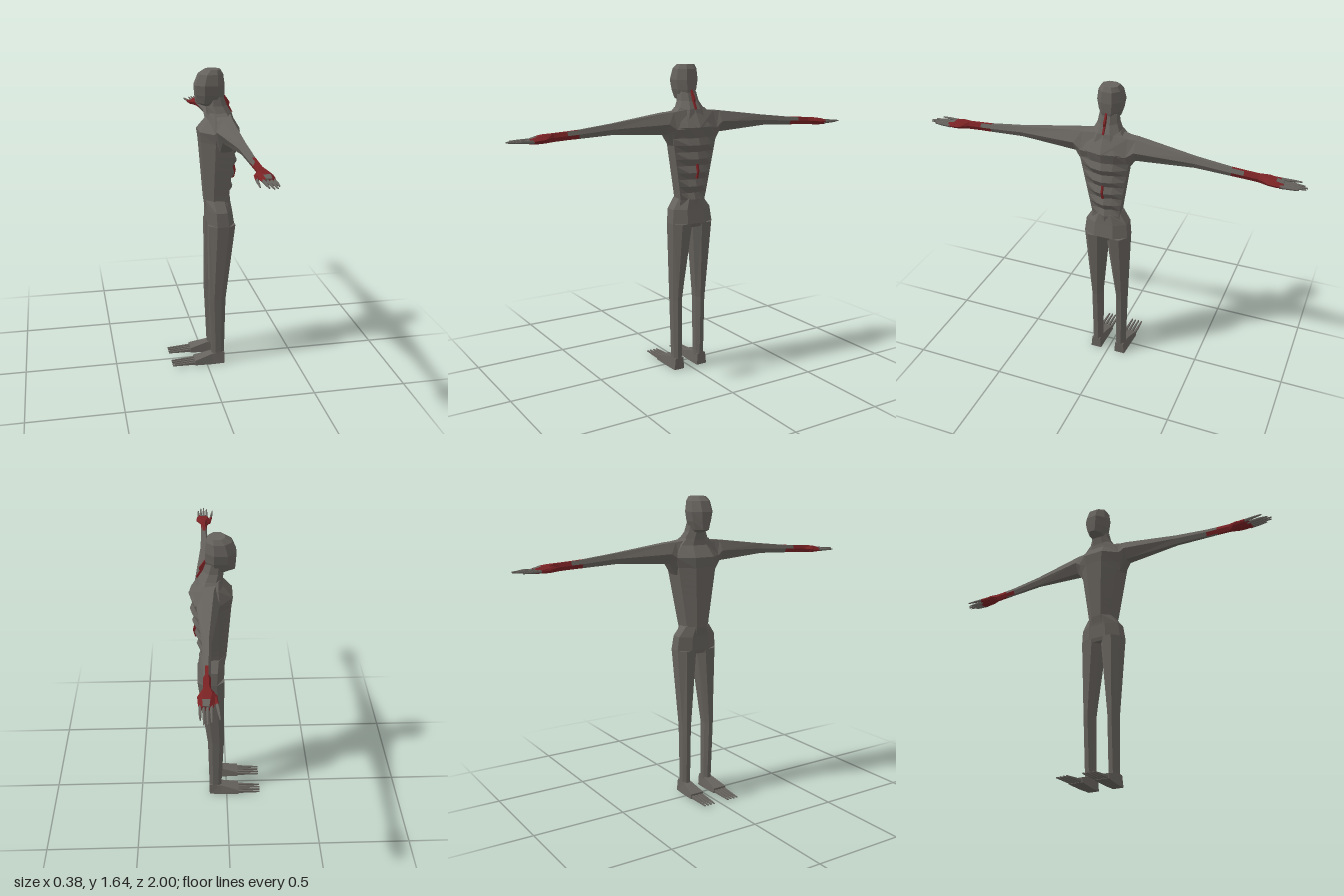
import * as THREE from 'three';

const skin = new THREE.MeshStandardMaterial({ name: 'ashenSkin', color: 0x66625d, flatShading: true });
const blood = new THREE.MeshStandardMaterial({ name: 'driedRed', color: 0x7a2224, flatShading: true });

// Skin a closed solid over rings of [x,y,z]; isRed(ring, side) picks the second material
function loft(name, rings, isRed) {
  const n = rings[0].length, groups = [[], []];
  const tri = (m, a, b, c) => groups[m].push([a, b, c]);
  for (let i = 0; i < rings.length - 1; i++) {
    for (let k = 0; k < n; k++) {
      const a = rings[i][k], b = rings[i][(k + 1) % n], c = rings[i + 1][(k + 1) % n], d = rings[i + 1][k];
      const m = isRed && isRed(i, k) ? 1 : 0;
      tri(m, a, b, c);
      tri(m, a, c, d);
    }
  }
  const last = rings[rings.length - 1];
  for (let k = 1; k < n - 1; k++) {
    tri(isRed && isRed(0, k) ? 1 : 0, rings[0][0], rings[0][k + 1], rings[0][k]);
    tri(isRed && isRed(rings.length - 2, k) ? 1 : 0, last[0], last[k], last[k + 1]);
  }
  // Turn the faces outward using the signed volume
  let volume = 0;
  for (const [a, b, c] of groups.flat()) {
    volume += a[0] * (b[1] * c[2] - b[2] * c[1]) + a[1] * (b[2] * c[0] - b[0] * c[2]) + a[2] * (b[0] * c[1] - b[1] * c[0]);
  }
  const geo = new THREE.BufferGeometry(), pos = [];
  groups.forEach((tris, m) => {
    geo.addGroup(pos.length / 3, tris.length * 3, m);
    for (const [a, b, c] of tris) pos.push(...a, ...(volume > 0 ? b : c), ...(volume > 0 ? c : b));
  });
  geo.setAttribute('position', new THREE.Float32BufferAttribute(pos, 3));
  geo.computeVertexNormals();
  const mesh = new THREE.Mesh(geo, [skin, blood]);
  mesh.name = name;
  return mesh;
}

// Eight-sided horizontal ring with cut corners
function octY(y, x0, x1, z0, z1, c = 0.28) {
  const dx = (x1 - x0) * c, dz = (z1 - z0) * c;
  return [[x0, y, z0 + dz], [x0 + dx, y, z0], [x1 - dx, y, z0], [x1, y, z0 + dz],
    [x1, y, z1 - dz], [x1 - dx, y, z1], [x0 + dx, y, z1], [x0, y, z1 - dz]];
}

// Hexagonal ring across the arm, pointed at front and back
function hexZ(z, x0, x1, y0, y1, mid = (y0 + y1) / 2) {
  const d = (x1 - x0) * 0.27;
  return [[x0, mid, z], [x0 + d, y1, z], [x1 - d, y1, z], [x1, mid, z], [x1 - d, y0, z], [x0 + d, y0, z]];
}

// Thin upright wound plate on the centre line
function fin(name, pts) {
  const shape = new THREE.Shape(pts.map(p => new THREE.Vector2(...p)));
  const geo = new THREE.ExtrudeGeometry(shape, { depth: 0.009, bevelEnabled: false });
  geo.translate(0, 0, -0.0045);
  const mesh = new THREE.Mesh(geo, blood);
  mesh.name = name;
  return mesh;
}

function torso() {
  // Ring with a narrow chest front, flat sides and a ridged back
  const ring = (y, xf, xs, xe, xb, w) => [
    [xf, y, -w * 0.38], [xs, y, -w * 0.9], [xe, y, -w], [xb - 0.012, y, -w * 0.45], [xb, y, 0],
    [xb - 0.012, y, w * 0.45], [xe, y, w], [xs, y, w * 0.9], [xf, y, w * 0.38]];
  const rings = [ring(0.9, 0.01, 0.04, 0.115, 0.14, 0.08), ring(0.945, 0, 0.04, 0.115, 0.144, 0.075)];
  for (let i = 0; i < 9; i++) {
    const t = i / 8;
    const bump = i % 2 ? 0.012 : -0.006;
    rings.push(ring(0.98 + t * 0.29, -0.003 - t * 0.022, 0.04, 0.12 + t * 0.015, 0.138 + t * 0.04 + bump, 0.08 + t * 0.05));
  }
  rings.push(ring(1.325, -0.032, 0.035, 0.135, 0.188, 0.15));
  rings.push(ring(1.385, 0.015, 0.04, 0.12, 0.153, 0.11));
  rings.push(ring(1.42, 0.02, 0.04, 0.105, 0.138, 0.075));
  return loft('torso', rings);
}

function hand(s) {
  const g = new THREE.Group();
  g.name = s > 0 ? 'leftHand' : 'rightHand';
  // Blood-stained wrist and palm, with a bare patch on the back of the hand
  g.add(loft('palm', [
    hexZ(s * 0.64, 0.087, 0.122, 1.3, 1.342),
    hexZ(s * 0.7, 0.088, 0.122, 1.298, 1.338),
    hexZ(s * 0.77, 0.088, 0.122, 1.294, 1.334),
    hexZ(s * 0.82, 0.06, 0.148, 1.291, 1.33),
    hexZ(s * 0.855, 0.072, 0.147, 1.29, 1.325),
    hexZ(s * 0.89, 0.08, 0.142, 1.291, 1.316),
  ], (i, k) => !(i === 0 && k % 2 === 0) && !(i === 4 && k === 1)));
  // Slim fingers
  [0.088, 0.105, 0.121, 0.136].forEach((x, i) => {
    const tip = [0.985, 1, 0.995, 0.965][i];
    g.add(loft('finger', [
      hexZ(s * 0.875, x - 0.007, x + 0.007, 1.295, 1.311),
      hexZ(s * 0.935, x - 0.006, x + 0.006, 1.298, 1.312),
      hexZ(s * tip, x - 0.003, x + 0.003, 1.301, 1.307),
    ]));
  });
  // Thumb
  g.add(loft('thumb', [
    hexZ(s * 0.81, 0.064, 0.086, 1.295, 1.318),
    hexZ(s * 0.87, 0.056, 0.071, 1.296, 1.312),
    hexZ(s * 0.92, 0.052, 0.064, 1.298, 1.31),
    hexZ(s * 0.965, 0.05, 0.056, 1.3, 1.306),
  ], i => i === 0));
  return g;
}

function leg(s) {
  const g = new THREE.Group();
  g.name = s > 0 ? 'leftLeg' : 'rightLeg';
  const ring = (y, x0, x1, z0, z1) => octY(y, x0, x1, s * z0, s * z1);
  g.add(loft('legShaft', [
    ring(0.03, 0.03, 0.1, 0.045, 0.097),
    ring(0.07, 0.03, 0.1, 0.045, 0.095),
    ring(0.39, 0.015, 0.105, 0.045, 0.1),
    ring(0.82, 0.012, 0.155, 0.0, 0.12),
  ]));
  // Foot, spreading toward the toes
  const slab = (x, y0, y1, a, b, c, d) => [[x, y0, s * a], [x, y0, s * b], [x, y1, s * d], [x, y1, s * c]];
  g.add(loft('foot', [
    slab(0.1, 0, 0.065, 0.042, 0.102, 0.047, 0.095),
    slab(0.03, 0, 0.06, 0.04, 0.106, 0.047, 0.096),
    slab(-0.07, 0.008, 0.034, 0.034, 0.116, 0.037, 0.113),
  ]));
  for (let i = 0; i < 4; i++) {
    const z = 0.046 + i * 0.0195;
    g.add(loft('toe', [
      slab(-0.06, 0.01, 0.026, z - 0.007, z + 0.007, z - 0.006, z + 0.006),
      slab(-0.195, 0.01, 0.016, z - 0.004, z + 0.004, z - 0.003, z + 0.003),
    ]));
  }
  return g;
}

export function createModel() {
  const model = new THREE.Group();
  model.name = 'gauntFigure';

  // Head with a flat crown and jutting jaw, facing -x
  model.add(loft('head', [
    octY(1.453, 0.0, 0.08, -0.03, 0.03),
    octY(1.468, -0.043, 0.095, -0.04, 0.04),
    octY(1.51, -0.047, 0.102, -0.055, 0.055),
    octY(1.56, -0.05, 0.102, -0.064, 0.064),
    octY(1.615, -0.028, 0.095, -0.056, 0.056),
    octY(1.638, 0.005, 0.082, -0.042, 0.042),
  ]));
  model.add(loft('neck', [
    octY(1.37, 0.018, 0.152, -0.105, 0.105),
    octY(1.415, 0.018, 0.14, -0.072, 0.072),
    octY(1.455, 0.012, 0.115, -0.052, 0.052),
    octY(1.5, 0.015, 0.098, -0.045, 0.045),
  ]));
  model.add(torso());
  model.add(loft('hips', [
    octY(0.8, 0.018, 0.145, -0.112, 0.112),
    octY(0.82, 0.012, 0.155, -0.12, 0.12),
    octY(0.895, 0.01, 0.143, -0.112, 0.112),
    octY(0.95, 0.003, 0.135, -0.073, 0.073),
  ]));

  // Shoulders and both arms, sweeping out from the spine
  const half = [[0.64, 0.087, 0.122, 1.3, 1.342], [0.46, 0.08, 0.125, 1.308, 1.362],
    [0.16, 0.035, 0.15, 1.29, 1.4], [0.12, 0.028, 0.158, 1.23, 1.402]];
  const arm = s => half.map(([z, ...r]) => hexZ(s * z, ...r));
  model.add(loft('shouldersAndArms', [
    ...arm(-1), hexZ(0, -0.02, 0.19, 1.25, 1.42, 1.325), ...arm(1).reverse(),
  ]));

  for (const s of [1, -1]) model.add(hand(s), leg(s));

  // Torn wounds at the nape and along the spine
  model.add(fin('napeWound', [[0.09, 1.512], [0.104, 1.51], [0.135, 1.465], [0.13, 1.45], [0.15, 1.415], [0.12, 1.41], [0.09, 1.46]]));
  model.add(fin('spineWound', [[0.13, 1.14], [0.164, 1.135], [0.172, 1.1], [0.162, 1.06], [0.13, 1.06]]));
  return model;
}
